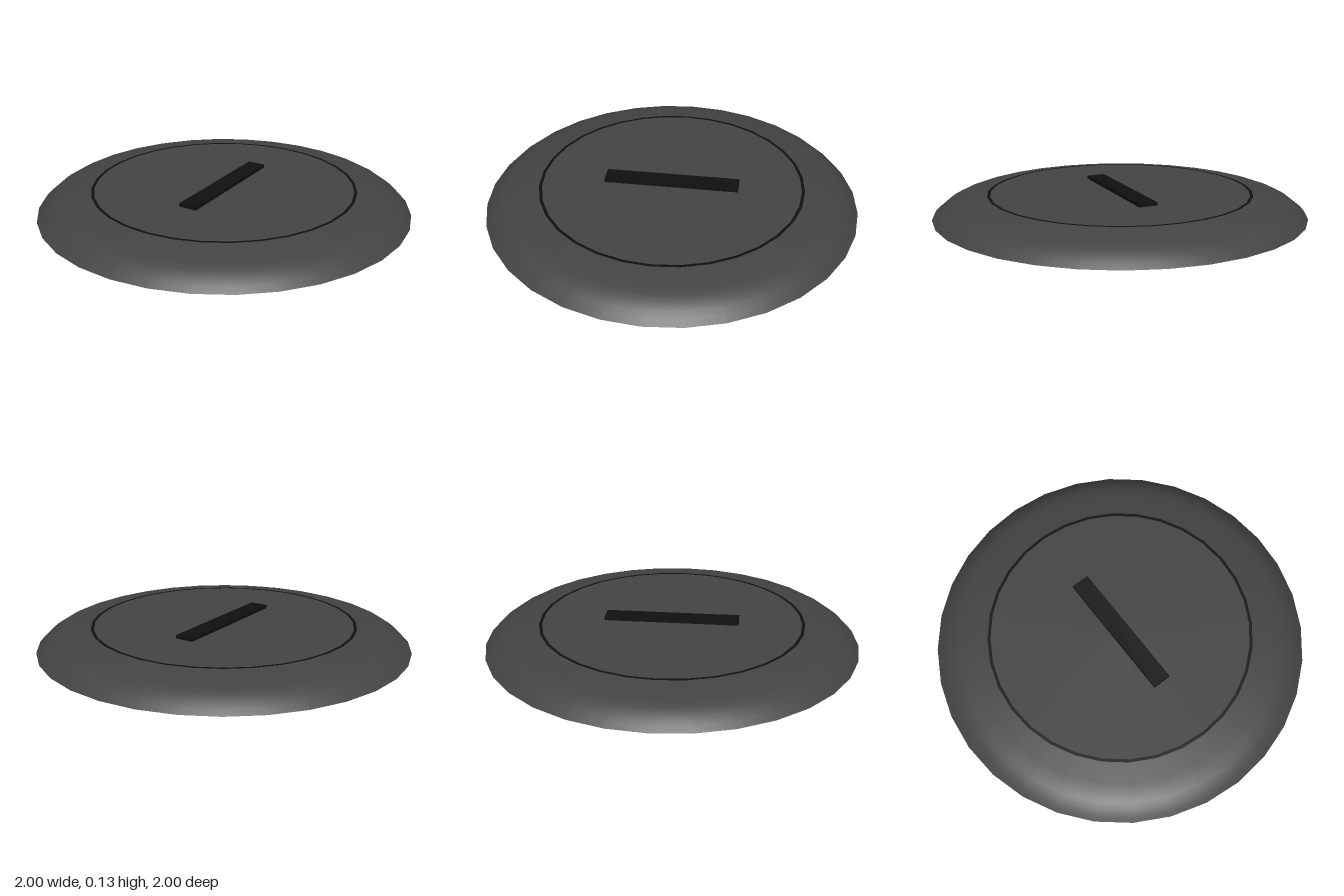
import * as THREE from 'three';

const SEGMENTS = 32;
const TOP = 0.108;
const TOP_RADIUS = 0.71;

export function createModel() {
  const group = new THREE.Group();
  const grey = new THREE.MeshStandardMaterial({ color: 0x444444 });
  const black = new THREE.MeshStandardMaterial({ color: 0x101010 });

  const add = (name, geometry, material, y) => {
    const mesh = new THREE.Mesh(geometry, material);
    mesh.name = name;
    mesh.position.y = y;
    group.add(mesh);
    return mesh;
  };

  // Rounded rim, from the ground edge up to the flat top
  const profile = [
    [1, 0], [0.975, 0.025], [0.945, 0.049], [0.91, 0.069],
    [0.87, 0.083], [0.82, 0.092], [TOP_RADIUS, TOP],
  ].map(([x, y]) => new THREE.Vector2(x, y));
  add('rim', new THREE.LatheGeometry(profile, SEGMENTS), grey, 0);

  // Horizontal discs start on +z so their corners match the rim
  const disc = (radius) =>
    new THREE.CircleGeometry(radius, SEGMENTS, Math.PI / 2);
  add('topFace', disc(TOP_RADIUS), grey, TOP).rotation.x = -Math.PI / 2;
  add('underside', disc(1), grey, 0).rotation.x = Math.PI / 2;

  // Thin dark line around the top face
  const line = new THREE.RingGeometry(0.696, 0.712, SEGMENTS, 1, Math.PI / 2);
  add('seamLine', line, black, TOP + 0.002).rotation.x = -Math.PI / 2;

  // Raised bar across the middle
  add('centreBar', new THREE.BoxGeometry(0.1, 0.025, 0.72), black, 0.1135);

  return group;
}
